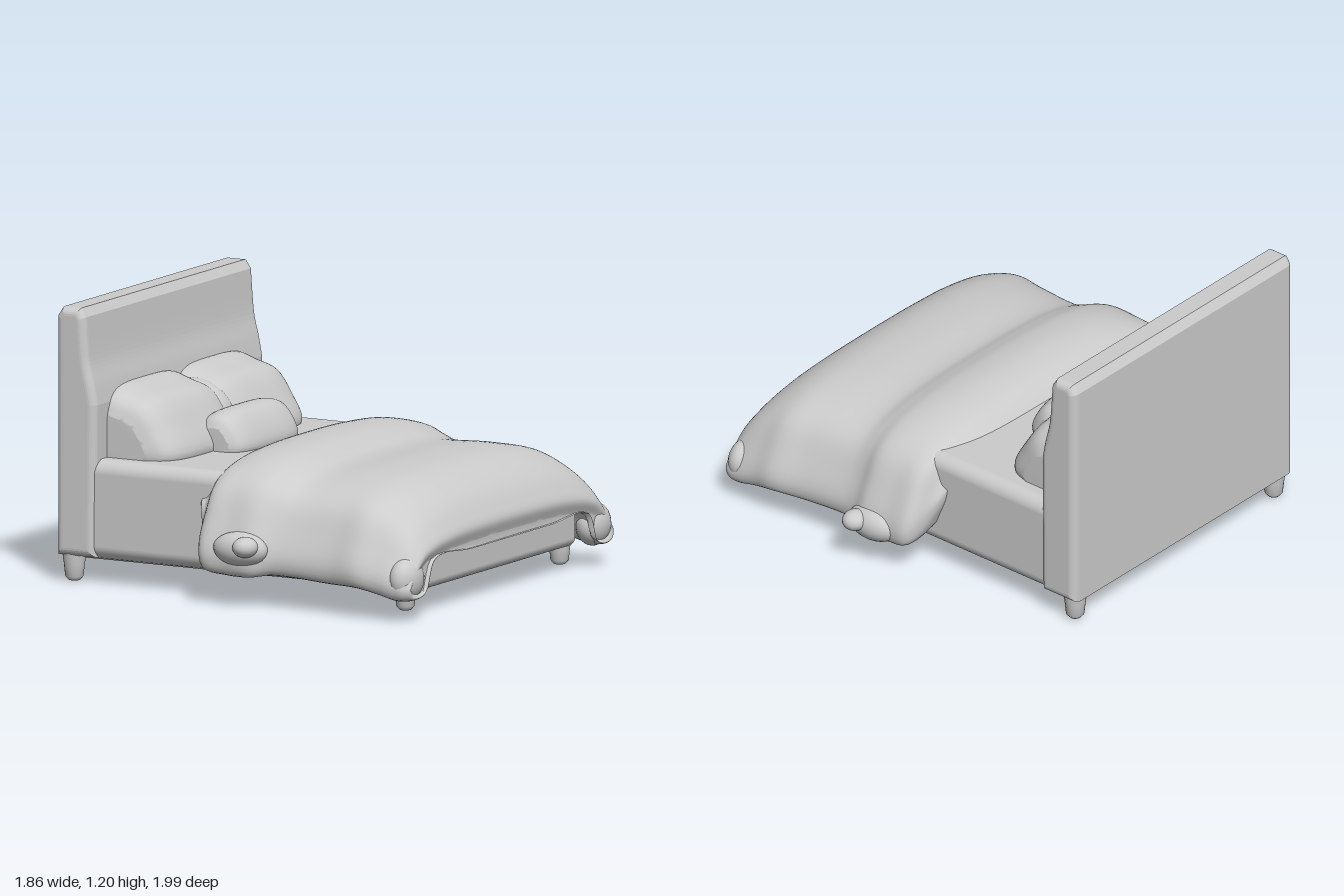
import * as THREE from 'three';
import { RoundedBoxGeometry } from 'three/addons/geometries/RoundedBoxGeometry.js';

const material = new THREE.MeshStandardMaterial({ color: 0xcccccc, side: THREE.DoubleSide });

// Smooth solid through a row of closed rings, each with the same number of control points.
function loft(rings, around, along) {
  const sampled = rings.map(r => new THREE.CatmullRomCurve3(r, true).getPoints(around).slice(0, around));
  const lines = [];
  for (let i = 0; i < around; i++) {
    lines.push(new THREE.CatmullRomCurve3(sampled.map(r => r[i])).getPoints(along));
  }
  const pos = [], index = [];
  for (let j = 0; j <= along; j++) {
    for (let i = 0; i < around; i++) {
      pos.push(...lines[i][j].toArray());
      if (j === along) continue;
      const a = j * around + i, b = j * around + (i + 1) % around;
      index.push(a, b, b + around, a, b + around, a + around);
    }
  }
  // End caps, triangulated in the plane that the ring spans
  const spanX = rings[0][0].x === rings[0][1].x;
  for (const j of [0, along]) {
    const flat = lines.map(l => spanX ? new THREE.Vector2(l[j].y, l[j].z) : new THREE.Vector2(l[j].x, l[j].y));
    for (const [a, b, c] of THREE.ShapeUtils.triangulateShape(flat, [])) {
      const o = j * around;
      if (j) index.push(o + a, o + b, o + c);
      else index.push(o + a, o + c, o + b);
    }
  }
  const g = new THREE.BufferGeometry();
  g.setAttribute('position', new THREE.Float32BufferAttribute(pos, 3));
  g.setIndex(index);
  g.computeVertexNormals();
  return g;
}

// Draped cover: sections along the bed as [x, top height, half width, hem height]
function coverGeometry() {
  const sections = [
    [-0.21, 0.535, 0.72, 0.38], [-0.17, 0.575, 0.78, 0.28], [-0.11, 0.615, 0.9, 0.16],
    [0, 0.64, 0.905, 0.14], [0.12, 0.632, 0.91, 0.14], [0.2, 0.605, 0.875, 0.15],
    [0.28, 0.575, 0.865, 0.15], [0.5, 0.578, 0.875, 0.14], [0.65, 0.565, 0.905, 0.14],
    [0.75, 0.53, 0.895, 0.12], [0.84, 0.465, 0.895, 0.1], [0.89, 0.4, 0.89, 0.1],
    [0.92, 0.34, 0.87, 0.11], [0.905, 0.28, 0.84, 0.13],
  ];
  // Outer half profile: [share of half width, share of drop]
  const outer = [[0.3, 0.99], [0.55, 0.95], [0.75, 0.85], [0.86, 0.71], [0.94, 0.45], [1, 0.15], [0.98, 0]];
  return loft(sections.map(([x, h, w, hem]) => {
    const at = (s, f) => new THREE.Vector3(x, hem + (h - hem) * f, s * w);
    const under = s => new THREE.Vector3(x, 0.25, s * w);
    return [
      ...outer.map(([s, f]) => at(-s, f)).reverse(), at(0, 1), ...outer.map(([s, f]) => at(s, f)),
      at(0.85, 0.02), under(0.76), under(0.4), under(0), under(-0.4), under(-0.76), at(-0.85, 0.02),
    ];
  }), 110, 70);
}

// Cushion: a side profile in x and y swept along z, swelling from its two ends
function cushionGeometry(profile, z0, z1, cx, cy) {
  const swell = [[0, 0.55], [0.05, 0.8], [0.16, 0.95], [0.5, 1], [0.84, 0.95], [0.95, 0.8], [1, 0.55]];
  return loft(swell.map(([t, k]) => profile.map(([x, y]) =>
    new THREE.Vector3(cx + (x - cx) * k, cy + (y - cy) * k, z0 + (z1 - z0) * t))), 40, 30);
}

// Headboard side profile: flat back, front face curving out towards the bed
function headboardGeometry() {
  const s = new THREE.Shape();
  s.moveTo(-0.9, 0.15);
  s.lineTo(-0.78, 0.15);
  s.lineTo(-0.775, 0.78);
  s.splineThru([[-0.79, 0.86], [-0.815, 0.97], [-0.83, 1.15]].map(p => new THREE.Vector2(...p)));
  s.lineTo(-0.84, 1.165);
  s.lineTo(-0.89, 1.165);
  s.lineTo(-0.9, 1.15);
  return new THREE.ExtrudeGeometry(s, {
    depth: 1.39, bevelThickness: 0.035, bevelSize: 0.035, bevelSegments: 6, curveSegments: 5,
  });
}

export function createModel() {
  const bed = new THREE.Group();
  bed.name = 'bed';
  const add = (name, geometry, x = 0, y = 0, z = 0) => {
    const mesh = new THREE.Mesh(geometry, material);
    mesh.name = name;
    mesh.position.set(x, y, z);
    bed.add(mesh);
    return mesh;
  };
  const blob = (name, x, y, z, rx, ry, rz) =>
    add(name, new THREE.SphereGeometry(1, 24, 16), x, y, z).scale.set(rx, ry, rz);

  add('headboard', headboardGeometry(), 0, 0, -0.705);

  // Bed base, and the open part of the mattress that runs in under the cover
  add('base', new RoundedBoxGeometry(1.72, 0.2, 1.36, 4, 0.04), -0.01, 0.2, -0.01);
  add('mattress', new RoundedBoxGeometry(0.94, 0.435, 1.43, 6, 0.06), -0.43, 0.325, -0.01);

  // Tapered legs with rounded feet
  const legProfile = [[0, 0], [0.025, 0.003], [0.04, 0.02], [0.045, 0.07], [0.055, 0.14], [0.055, 0.18]];
  for (const s of [1, -1]) {
    for (const [name, x, bottom] of [['headLeg', -0.878, 0], ['footLeg', 0.77, 0.015]]) {
      const geometry = new THREE.LatheGeometry(legProfile.map(p => new THREE.Vector2(...p)), 16);
      add(name, geometry, x, bottom, s * 0.66 - 0.005);
    }
  }

  // Two leaning pillows that meet in the middle, and a small cushion in front
  const pillow = [[-0.8, 0.48], [-0.5, 0.48], [-0.42, 0.55], [-0.48, 0.68], [-0.56, 0.785], [-0.66, 0.82], [-0.76, 0.845], [-0.81, 0.8]];
  add('rightPillow', cushionGeometry(pillow, -0.63, 0.03, -0.72, 0.58));
  add('leftPillow', cushionGeometry(pillow, -0.07, 0.61, -0.72, 0.58));
  blob('pillowJoin', -0.68, 0.6, -0.02, 0.2, 0.2, 0.16);
  const small = [[-0.52, 0.5], [-0.33, 0.5], [-0.28, 0.55], [-0.32, 0.65], [-0.38, 0.705], [-0.46, 0.705], [-0.52, 0.66]];
  add('smallCushion', cushionGeometry(small, -0.31, 0.25, -0.43, 0.56));

  // Cover with gathered knots at the sides and drooping corners
  add('cover', coverGeometry());
  for (const s of [1, -1]) {
    const y = s > 0 ? 0.275 : 0.215;
    blob('sideKnot', 0.135, y, s * 0.935, 0.055, 0.045, 0.06);
    blob('sideKnotFold', 0.08, y - 0.02, s * 0.88, 0.13, 0.075, 0.07);
    blob('coverCorner', 0.86, 0.18, s * 0.8, 0.068, 0.095, 0.1);
  }
  return bed;
}
